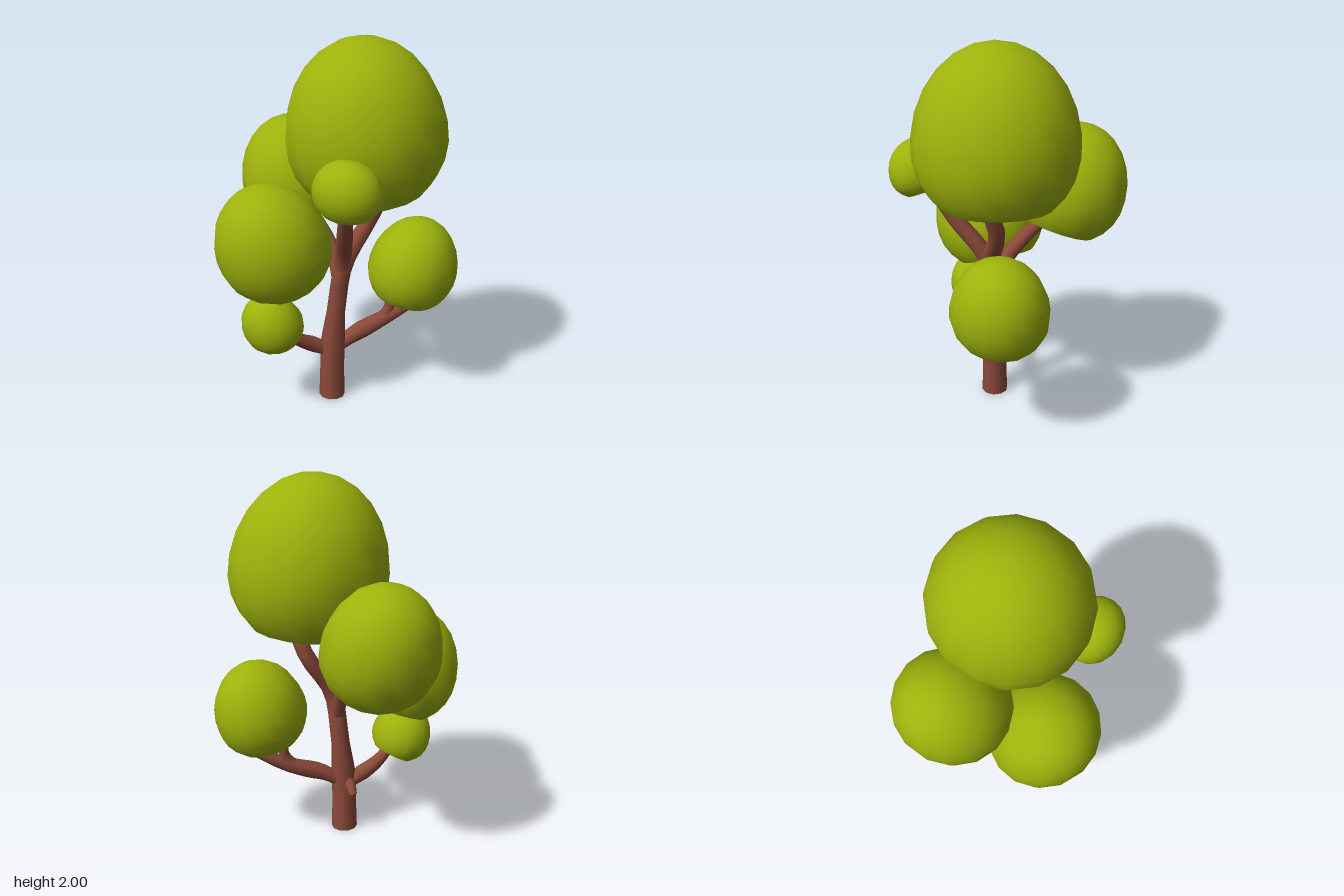
import * as THREE from 'three';

const bark = new THREE.MeshStandardMaterial({ color: 0x8c4a3a });
bark.name = 'bark brown';
const leaf = new THREE.MeshStandardMaterial({ color: 0x9db20b, side: THREE.DoubleSide });
leaf.name = 'leaf green';

// Limb: a tube whose rings follow evenly spaced radii, closed by a blunt tip
function limb(name, points, radii) {
  const curve = new THREE.CatmullRomCurve3(points.map(p => new THREE.Vector3(...p)));
  const rings = 16, sides = 10, steps = radii.length - 1;
  const geo = new THREE.TubeGeometry(curve, rings, 1, sides);
  const pos = geo.attributes.position, v = new THREE.Vector3();
  for (let i = 0; i <= rings; i++) {
    const from = curve.getPointAt(i / rings);
    const t = i === rings - 1 ? 0.98 : i / rings;
    const to = curve.getPointAt(t);
    const k = Math.min(Math.floor(t * steps), steps - 1);
    const r = i === rings ? 0.002 : THREE.MathUtils.lerp(radii[k], radii[k + 1], t * steps - k);
    for (let j = 0; j <= sides; j++) {
      const n = i * (sides + 1) + j;
      v.fromBufferAttribute(pos, n).sub(from).multiplyScalar(r).add(to);
      pos.setXYZ(n, v.x, v.y, v.z);
    }
  }
  const mesh = new THREE.Mesh(geo, bark);
  mesh.name = name;
  return mesh;
}

// Leaf cluster: a tall dome with a shallower underside, open where its branch
// enters, leaning along axis
function cluster(name, center, [rx, ry, rz], axis, reach) {
  const geo = new THREE.SphereGeometry(1, 16, 10, 0, Math.PI * 2, 0, Math.PI * reach);
  const pos = geo.attributes.position;
  for (let i = 0; i < pos.count; i++) if (pos.getY(i) < 0) pos.setY(i, pos.getY(i) * 0.78);
  geo.scale(rx, ry, rz);
  const mesh = new THREE.Mesh(geo, leaf);
  mesh.name = name;
  mesh.position.set(...center);
  mesh.quaternion.setFromUnitVectors(new THREE.Vector3(0, 1, 0), new THREE.Vector3(...axis).normalize());
  return mesh;
}

export function createModel() {
  const tree = new THREE.Group();
  tree.name = 'tree';

  // Trunk, running on into the limb that carries the crown
  tree.add(limb('trunk', [[0.053, 0, 0.025], [0.055, 0.3, 0.022], [0.078, 0.6, 0.01], [0.115, 0.82, 0],
    [0.19, 1.03, -0.12], [0.26, 1.2, -0.13], [0.27, 1.3, -0.13]],
    [0.072, 0.067, 0.068, 0.051, 0.049, 0.05, 0.044, 0.042, 0.04]));
  const base = new THREE.Mesh(new THREE.CircleGeometry(0.071, 10), bark);
  base.name = 'trunkBase';
  base.rotation.x = Math.PI / 2;
  base.position.set(0.053, 0.001, 0.025);
  tree.add(base);

  // Branches
  tree.add(
    limb('upperFrontBranch', [[0.095, 0.74, 0.005], [0.13, 0.88, 0.04], [0.21, 1.06, 0.16], [0.27, 1.22, 0.25]], [0.04, 0.046, 0.042, 0.036]),
    limb('upperBackBranch', [[0.085, 0.68, 0.005], [0, 0.86, -0.05], [-0.22, 1.05, -0.14]], [0.036, 0.04, 0.032]),
    limb('lowerBackBranch', [[0.05, 0.27, 0.02], [0.12, 0.345, -0.06], [0.25, 0.43, -0.23], [0.42, 0.55, -0.39]], [0.03, 0.05, 0.038, 0.022]),
    limb('lowerBackTwig', [[0.21, 0.4, -0.19], [0.26, 0.48, -0.24], [0.265, 0.58, -0.25]], [0.034, 0.03, 0.025]),
    limb('lowerFrontBranch', [[0.045, 0.26, 0.02], [-0.005, 0.31, 0.075], [-0.07, 0.38, 0.18], [-0.115, 0.48, 0.28]], [0.03, 0.045, 0.034, 0.025]),
    limb('stub', [[0.04, 0.32, 0.02], [-0.015, 0.275, -0.005], [-0.04, 0.24, -0.02]], [0.036, 0.03, 0.022]),
  );

  // Leaf clusters
  tree.add(
    cluster('crownLeaves', [0.175, 1.485, -0.105], [0.415, 0.515, 0.425], [-0.08, 1, 0.09], 0.77),
    cluster('backRightLeaves', [-0.315, 1.16, -0.185], [0.3, 0.37, 0.31], [-0.35, 1, -0.15], 0.76),
    cluster('frontRightLeaves', [-0.165, 0.92, 0.25], [0.31, 0.368, 0.298], [-0.12, 1, 0.38], 0.765),
    cluster('backLeftLeaves', [0.37, 0.725, -0.295], [0.242, 0.3, 0.257], [0.15, 1, -0.2], 0.78),
    cluster('frontLeftLeaves', [0.305, 1.315, 0.295], [0.182, 0.175, 0.152], [0.04, 0.85, 0.35], 0.78),
    cluster('lowRightLeaves', [-0.135, 0.507, 0.315], [0.169, 0.192, 0.155], [-0.22, 0.85, 0.38], 0.77),
  );
  return tree;
}
